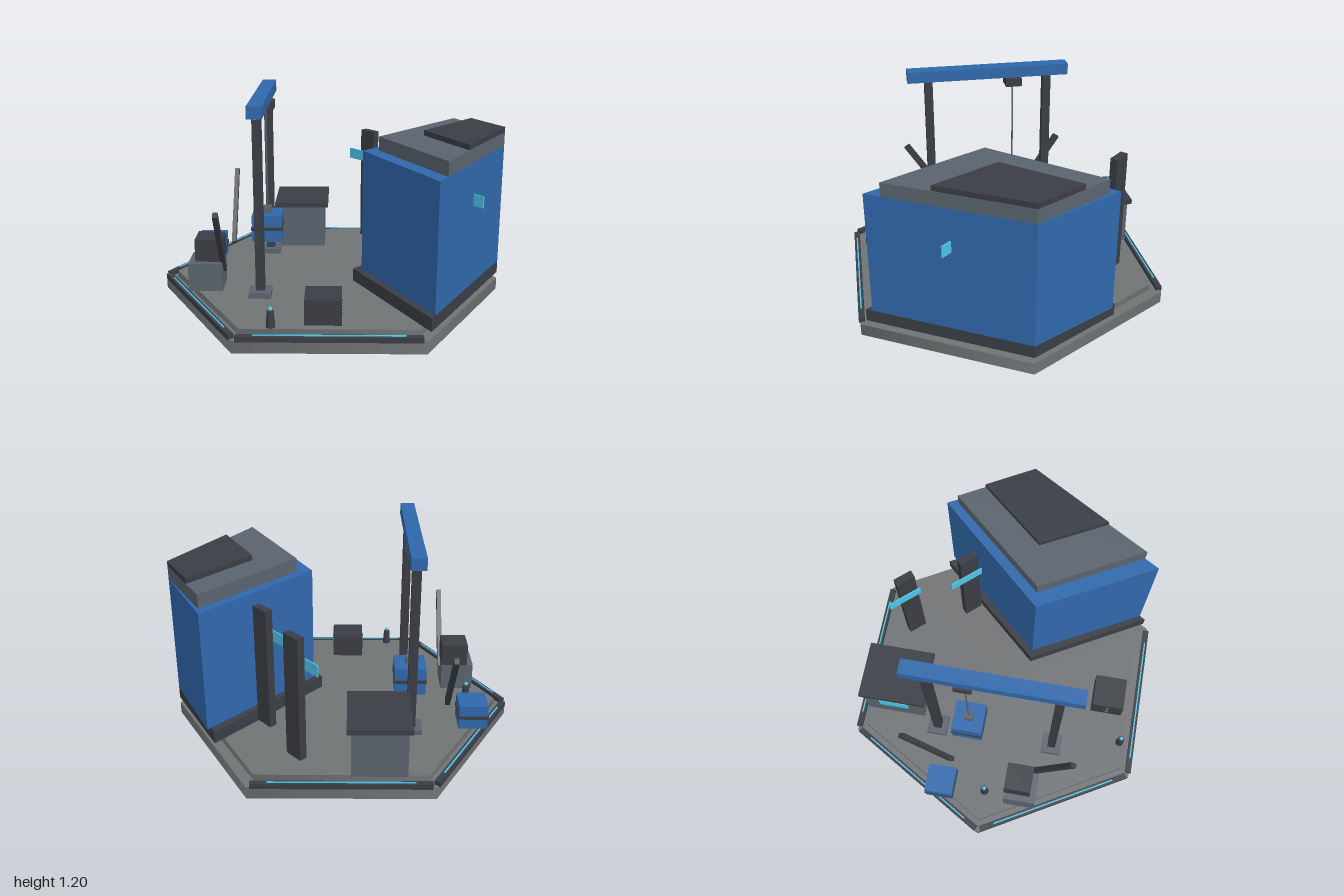
import * as THREE from 'three';

const paint = (color) => new THREE.MeshStandardMaterial({ color });
const MAT = {
  blue: paint(0x3068ac),
  dark: paint(0x3a3d44),
  steel: paint(0x5a646e),
  deck: paint(0x707375),
  cyan: paint(0x4cc4e8),
};

const DECK = 0.107; // height of the walking surface

function add(parent, name, geometry, mat, x = 0, y = 0, z = 0) {
  const mesh = new THREE.Mesh(geometry, MAT[mat]);
  mesh.name = name;
  mesh.position.set(x, y, z);
  parent.add(mesh);
  return mesh;
}

// Box given by its lower and upper limits on each axis
function box(parent, name, mat, [x0, x1], [y0, y1], [z0, z1]) {
  return add(parent, name, new THREE.BoxGeometry(x1 - x0, y1 - y0, z1 - z0), mat,
    (x0 + x1) / 2, (y0 + y1) / 2, (z0 + z1) / 2);
}

// Upright prism over a plan outline of [x, z] points
function prism(parent, name, mat, plan, y0, y1) {
  const shape = new THREE.Shape(plan.map(([x, z]) => new THREE.Vector2(x, -z)));
  const geometry = new THREE.ExtrudeGeometry(shape, { depth: y1 - y0, bevelEnabled: false });
  geometry.rotateX(-Math.PI / 2);
  return add(parent, name, geometry, mat, 0, y0, 0);
}

function hexagon(parent, name, radius, y0, y1) {
  const geometry = new THREE.CylinderGeometry(radius, radius, y1 - y0, 6);
  geometry.rotateY(Math.PI / 6);
  return add(parent, name, geometry, 'deck', 0, (y0 + y1) / 2, 0);
}

function group(parent, name) {
  const g = new THREE.Group();
  g.name = name;
  parent.add(g);
  return g;
}

// Blue crate with a dark strap around its middle
function crate(parent, name, x, y0, z, w, h, d) {
  const g = group(parent, name);
  g.position.set(x, y0, z);
  add(g, 'crateBody', new THREE.BoxGeometry(w, h, d), 'blue', 0, h / 2, 0);
  add(g, 'crateStrap', new THREE.BoxGeometry(w + 0.008, 0.02, d + 0.008), 'dark', 0, h / 2, 0);
}

export function createModel() {
  const model = new THREE.Group();
  model.name = 'dockPlatform';

  // Hexagonal platform
  hexagon(model, 'platformBase', 1, 0, 0.07);
  hexagon(model, 'deckPlate', 0.93, 0.07, DECK);

  // Lit kerbs on the front, back and both left-hand edges
  for (const angle of [Math.PI / 2, -Math.PI / 2, Math.PI * 5 / 6, -Math.PI * 5 / 6]) {
    const kerb = group(model, 'edgeKerb');
    kerb.rotation.y = -angle;
    box(kerb, 'kerbRail', 'dark', [0.84, 0.874], [0.065, 0.095], [-0.48, 0.48]);
    box(kerb, 'kerbLight', 'cyan', [0.853, 0.861], [0.09, 0.1], [-0.39, 0.39]);
  }

  // Stepped main building
  const building = group(model, 'building');
  prism(building, 'plinth', 'dark',
    [[0.13, 0.14], [0.71, -0.51], [1, 0], [0.52, 0.83]], DECK, 0.18);
  prism(building, 'walls', 'blue',
    [[0.18, 0.14], [0.75, -0.485], [1, 0], [0.54, 0.795]], 0.18, 0.89);
  prism(building, 'upperStorey', 'steel',
    [[0.27, 0.13], [0.76, -0.42], [1, 0], [0.59, 0.71]], 0.89, 0.97);
  prism(building, 'roofCap', 'dark',
    [[0.525, 0.1], [0.845, -0.27], [1, 0], [0.725, 0.47]], 0.97, 1);

  // Fin pillars and thin lit signs, all turned the same way
  const turn = -Math.atan2(0.155, 0.14);
  for (const [x, z] of [[0.245, -0.64], [0.435, -0.305]]) {
    add(model, 'finPillar', new THREE.BoxGeometry(0.115, 0.725, 0.045), 'dark', x, 0.4825, z)
      .rotation.y = turn;
  }
  for (const [x, z] of [[0.19, -0.64], [0.38, -0.305], [0.75, 0.36]]) {
    add(model, 'litSign', new THREE.BoxGeometry(0.21, 0.066, 0.008), 'cyan', x, 0.677, z)
      .rotation.y = turn;
  }

  // Gantry crane
  const gantry = group(model, 'gantry');
  box(gantry, 'gantryBeam', 'blue', [-0.435, -0.352], [1.133, 1.2], [-0.485, 0.485]);
  box(gantry, 'beamLight', 'cyan', [-0.4, -0.386], [1.122, 1.135], [-0.44, 0.44]);
  for (const side of [-1, 1]) {
    const z = side * 0.36;
    box(gantry, 'gantryColumn', 'dark', [-0.418, -0.368], [DECK, 1.134], [z - 0.024, z + 0.024]);
    box(gantry, 'columnFoot', 'steel', [-0.455, -0.331], [DECK, 0.14], [z - 0.06, z + 0.06]);
  }
  box(gantry, 'trolley', 'dark', [-0.445, -0.338], [1.08, 1.128], [-0.2, -0.103]);
  add(gantry, 'cable', new THREE.CylinderGeometry(0.005, 0.005, 0.62, 8), 'steel', -0.392, 0.77, -0.152);
  box(gantry, 'hookBlock', 'steel', [-0.417, -0.367], [0.434, 0.475], [-0.177, -0.127]);
  crate(gantry, 'hangingCrate', -0.392, 0.272, -0.153, 0.18, 0.163, 0.18);
  crate(model, 'deckCrate', -0.753, DECK, -0.265, 0.165, 0.143, 0.165);

  // Two slanting booms spreading outward
  for (const side of [-1, 1]) {
    add(model, 'slantedBoom', new THREE.BoxGeometry(0.027, 0.488, 0.038), 'dark',
      -0.614, 0.415, side * 0.36).rotation.x = side * 0.58;
  }

  // Control stand
  box(model, 'controlStand', 'steel', [-0.807, -0.615], [DECK, 0.272], [0.125, 0.316]);
  box(model, 'controlCabinet', 'dark', [-0.77, -0.614], [0.272, 0.402], [0.124, 0.28]);

  // Hut at the back
  const hut = group(model, 'hut');
  box(hut, 'hutWalls', 'steel', [-0.35, -0.05], [DECK, 0.377], [-0.82, -0.46]);
  box(hut, 'hutRoof', 'dark', [-0.37, -0.027], [0.375, 0.405], [-0.84, -0.44]);
  box(hut, 'hutWindow', 'cyan', [-0.357, -0.34], [0.235, 0.305], [-0.73, -0.55]);

  // Machine box with round ports on both ends
  const machine = group(model, 'machineBox');
  box(machine, 'machineBody', 'dark', [-0.13, 0.065], [DECK, 0.247], [0.57, 0.762]);
  for (const y of [0.142, 0.18, 0.218]) {
    const port = new THREE.CylinderGeometry(0.01, 0.01, 0.206, 10);
    port.rotateZ(Math.PI / 2);
    add(machine, 'machinePort', port, 'steel', -0.0325, y, 0.666);
  }

  // Lamp bollards
  for (const [x, z] of [[-0.303, 0.778], [-0.753, 0]]) {
    const bollard = group(model, 'bollard');
    bollard.position.set(x, DECK, z);
    add(bollard, 'bollardPost', new THREE.CylinderGeometry(0.018, 0.025, 0.09, 12), 'dark', 0, 0.045, 0);
    add(bollard, 'bollardLamp', new THREE.SphereGeometry(0.012, 12, 8), 'cyan', 0, 0.1, 0);
  }

  return model;
}
